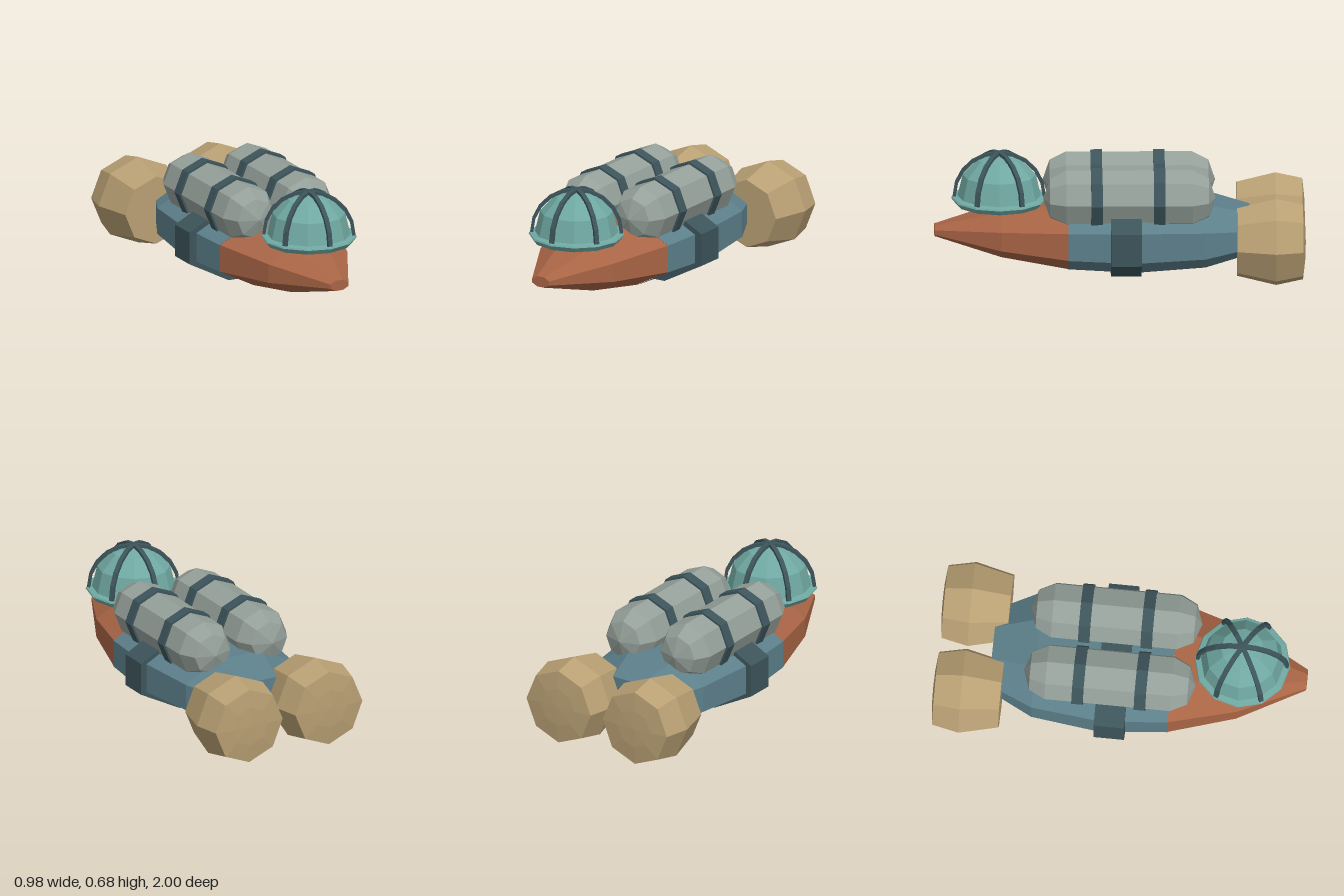
import * as THREE from 'three';

const material = (name, color) => {
  const m = new THREE.MeshStandardMaterial({ color, flatShading: true });
  m.name = name;
  return m;
};

export function createModel() {
  const rust = material('rust orange', 0xa86445);
  const slate = material('slate blue', 0x5c7f8a);
  const dark = material('dark slate', 0x3c545a);
  const tan = material('tan', 0xb89f73);
  const grey = material('tank grey', 0x95a09a);
  const teal = material('canopy teal', 0x70a8a2);

  const model = new THREE.Group();
  const add = (parent, name, geometry, mat, x = 0, y = 0, z = 0) => {
    const mesh = new THREE.Mesh(geometry, mat);
    mesh.name = name;
    mesh.position.set(x, y, z);
    parent.add(mesh);
    return mesh;
  };
  const lathe = (profile, sides, start = 0) =>
    new THREE.LatheGeometry(profile.map(([r, h]) => new THREE.Vector2(r, h)), sides, start, Math.PI * 2);
  // Eight-sided solid along z, profile given as [radius, z] from back to front
  const alongZ = (profile, start = 0) => lathe(profile, 8, start).rotateX(Math.PI / 2);
  // Same, flattened for the hull; radii are half widths across the flats
  const hullSection = (profile) => {
    const k = 1 / Math.cos(Math.PI / 8);
    return alongZ(profile, Math.PI / 8).scale(k, 0.526 * k, 1);
  };

  // Hull
  const axisY = 0.243;
  add(model, 'hullBody', hullSection([[0, -0.7], [0.22, -0.7], [0.335, -0.46], [0.38, -0.08], [0.347, 0.28]]), slate, 0, axisY);
  add(model, 'hullNose', hullSection([[0.345, 0.28], [0.24, 0.64], [0.055, 1], [0, 1]]), rust, 0, axisY);
  add(model, 'hullBand', hullSection([[0, -0.115], [0.41, -0.115], [0.41, 0.05], [0, 0.05]]), dark, 0, axisY);

  // Paired engines and tanks
  for (const side of [-1, 1]) {
    const label = side > 0 ? 'left' : 'right';
    add(model, label + 'Engine', alongZ([
      [0, -1], [0.11, -0.996], [0.21, -0.985], [0.242, -0.84], [0.19, -0.63], [0, -0.63],
    ]), tan, side * 0.25, axisY);

    const tank = new THREE.Group();
    tank.name = label + 'Tank';
    tank.position.set(side * 0.178, 0.47, -0.05);
    model.add(tank);
    add(tank, 'tankBody', alongZ([
      [0, -0.465], [0.111, -0.428], [0.157, -0.34], [0.157, 0.34], [0.111, 0.428], [0, 0.465],
    ]), grey);
    for (const z of [-0.162, 0.176]) {
      add(tank, 'tankStrap', alongZ([[0, -0.031], [0.169, -0.031], [0.169, 0.031], [0, 0.031]]), dark, 0, 0, z);
    }
  }

  // Canopy with rim and ribs
  const canopy = new THREE.Group();
  canopy.name = 'canopy';
  canopy.position.set(0, 0.435, 0.65);
  model.add(canopy);
  add(canopy, 'canopyRim', lathe([[0, -0.042], [0.237, -0.042], [0.259, -0.014], [0.255, -0.006], [0.215, 0.003], [0, 0.003]], 12), teal);
  add(canopy, 'canopyDome', lathe([[0.225, 0], [0.197, 0.118], [0.115, 0.203], [0, 0.236]], 12), teal);

  const steps = 10;
  const arcPoint = (i) => {
    const a = (Math.PI * i) / steps;
    return new THREE.Vector2(0.242 * Math.cos(a), 0.24 * Math.sin(a));
  };
  for (let r = 0; r < 3; r++) {
    const rib = new THREE.Group();
    rib.name = 'canopyRib';
    rib.rotation.y = Math.PI / 2 + (r * Math.PI) / 3;
    canopy.add(rib);
    for (let i = 0; i < steps; i++) {
      const a = arcPoint(i), b = arcPoint(i + 1);
      const bar = add(rib, 'ribSegment', new THREE.BoxGeometry(a.distanceTo(b) + 0.005, 0.017, 0.025), dark,
        (a.x + b.x) / 2, (a.y + b.y) / 2);
      bar.rotation.z = Math.atan2(b.y - a.y, b.x - a.x);
    }
  }
  return model;
}
